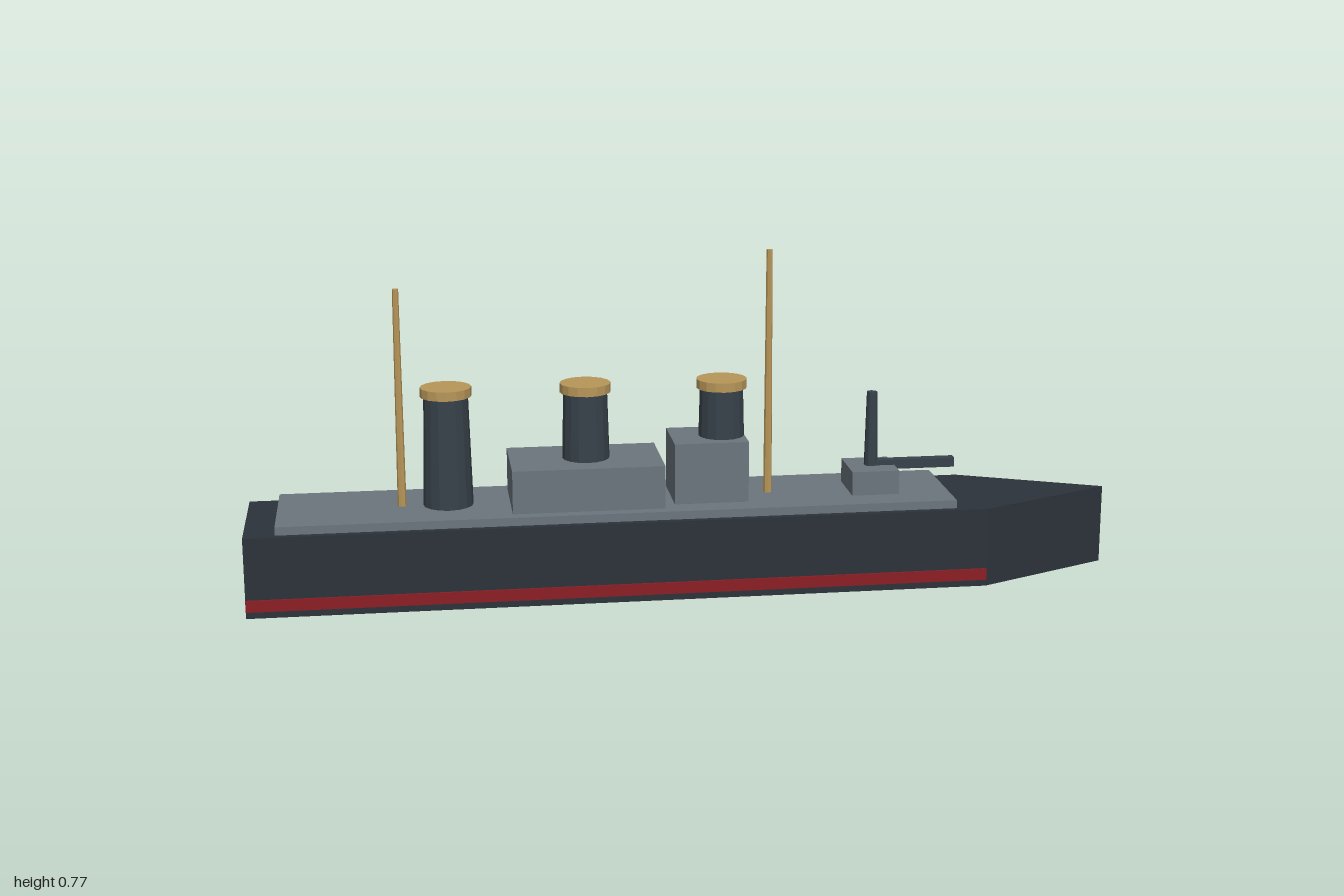
import * as THREE from 'three';

const paint = (color) => new THREE.MeshStandardMaterial({ color, flatShading: true });

export function createModel() {
  const ship = new THREE.Group();
  const hullPaint = paint(0x2c333a), grey = paint(0x6c767d), red = paint(0x8c1f26);
  const dark = paint(0x38424a), buff = paint(0xb8975a);

  const add = (name, geometry, material, x, y, z = 0) => {
    const mesh = new THREE.Mesh(geometry, material);
    mesh.name = name;
    mesh.position.set(x, y, z);
    ship.add(mesh);
    return mesh;
  };
  // Box given by its x and y ranges and full width in z
  const box = (name, material, x0, x1, y0, y1, width) =>
    add(name, new THREE.BoxGeometry(x1 - x0, y1 - y0, width), material, (x0 + x1) / 2, (y0 + y1) / 2);
  // Upright tapered cylinder between two heights
  const post = (name, material, x, y0, y1, rTop, rBottom, sides) =>
    add(name, new THREE.CylinderGeometry(rTop, rBottom, y1 - y0, sides), material, x, (y0 + y1) / 2);

  // Hull with pointed bow, extruded upwards from its plan
  const plan = new THREE.Shape([[-1, -0.147], [0.68, -0.147], [1, 0], [0.68, 0.147], [-1, 0.147]]
    .map(([x, y]) => new THREE.Vector2(x, y)));
  const hull = new THREE.ExtrudeGeometry(plan, { depth: 0.185, bevelEnabled: false });
  hull.rotateX(-Math.PI / 2);
  add('hull', hull, hullPaint, 0, 0);

  // Waterline stripe, one strip on each side
  for (const side of [-1, 1]) {
    add('waterlineStripe', new THREE.BoxGeometry(1.68, 0.027, 0.006), red, -0.16, 0.029, side * 0.148);
  }

  // Deck and deckhouses
  box('deck', grey, -0.93, 0.61, 0.18, 0.204, 0.264);
  box('midHouse', grey, -0.405, -0.06, 0.2, 0.303, 0.21);
  box('bridge', grey, -0.035, 0.135, 0.2, 0.345, 0.154);
  box('gunMount', grey, 0.38, 0.49, 0.2, 0.26, 0.125);

  // Funnels with caps
  for (const x of [-0.545, -0.23, 0.083]) {
    post('funnel', dark, x, 0.2, 0.46, 0.05, 0.057, 16);
    post('funnelCap', buff, x, 0.457, 0.478, 0.058, 0.058, 16);
  }

  // Masts
  post('aftMast', buff, -0.65, 0.204, 0.704, 0.007, 0.01, 8);
  post('foreMast', buff, 0.192, 0.204, 0.773, 0.007, 0.01, 8);

  // Forward gun: upright post and horizontal barrel
  post('gunPost', dark, 0.436, 0.255, 0.435, 0.012, 0.016, 10);
  box('gunBarrel', dark, 0.43, 0.633, 0.25, 0.272, 0.022);

  return ship;
}
